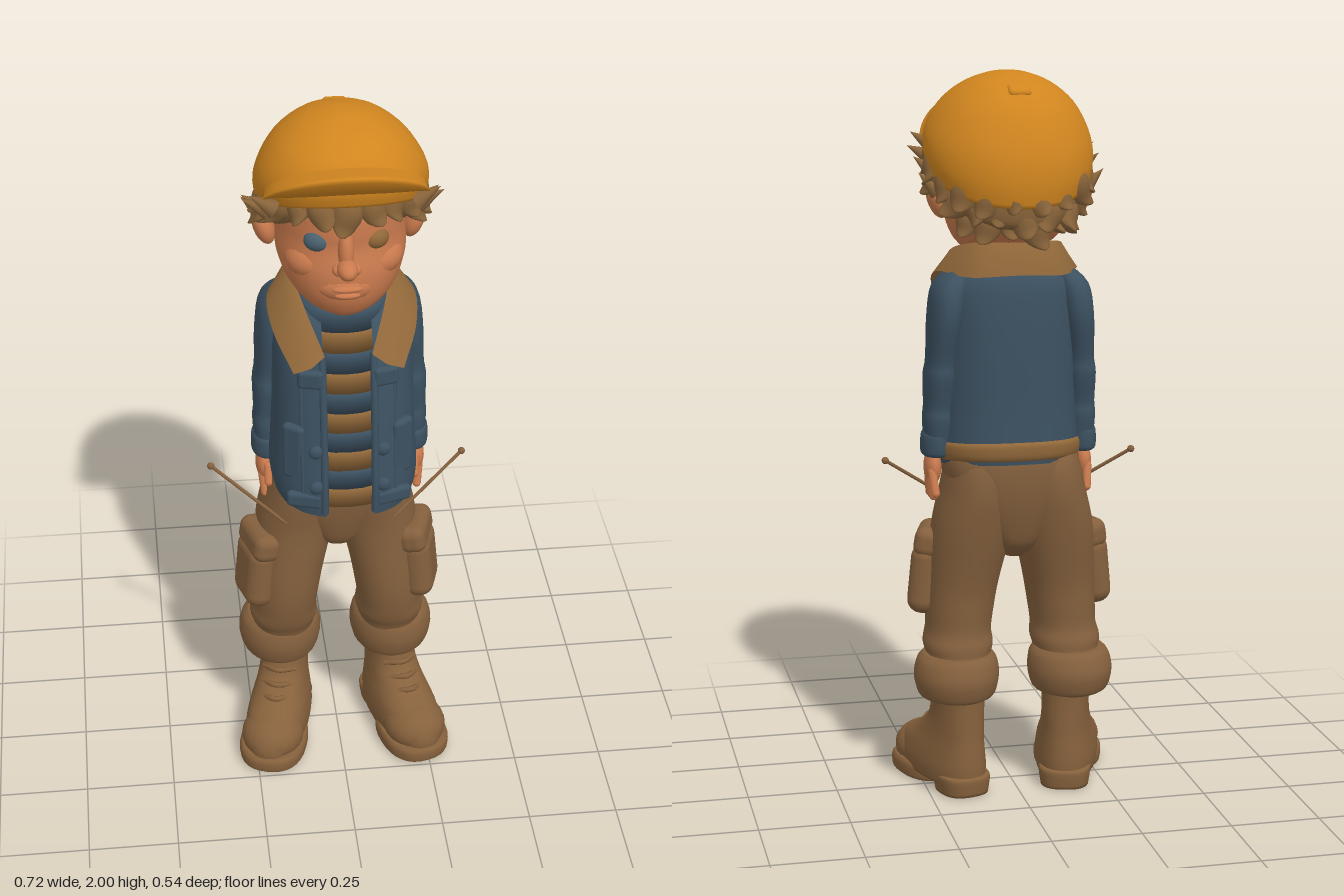
import * as THREE from 'three';
import { RoundedBoxGeometry } from 'three/addons/geometries/RoundedBoxGeometry.js';

const mat = (name, color, side = THREE.FrontSide) =>
  Object.assign(new THREE.MeshStandardMaterial({ color, side }), { name });

// Smooth interpolation of ring values [y, cx, cz, rx, rz, slope]
function smoothRings(rings, steps) {
  const out = [], at = i => rings[Math.max(0, Math.min(rings.length - 1, i))];
  for (let i = 0; i < rings.length - 1; i++)
    for (let s = 0; s < steps; s++) {
      const t = s / steps;
      out.push([0, 1, 2, 3, 4, 5].map(k => {
        const [a, b, c, d] = [i - 1, i, i + 1, i + 2].map(j => at(j)[k] || 0);
        return b + 0.5 * t * (c - a + t * (2 * a - 5 * b + 4 * c - d + t * (3 * (b - c) + d - a)));
      }));
    }
  out.push(at(rings.length));
  return out;
}

// Surface over a grid of rows; closed rows wrap round and get end caps
function gridGeometry(rows, closed) {
  const n = rows[0].length, pos = rows.flat(2), idx = [];
  for (let i = 0; i < rows.length - 1; i++)
    for (let j = 0; j < (closed ? n : n - 1); j++) {
      const k = (j + 1) % n, a = i * n + j, b = i * n + k, c = b + n, d = a + n;
      idx.push(a, b, c, a, c, d);
    }
  if (closed) {
    [0, rows.length - 1].forEach((r, top) => {
      const m = pos.length / 3;
      pos.push(...[0, 1, 2].map(k => rows[r].reduce((s, p) => s + p[k], 0) / n));
      for (let j = 0; j < n; j++) {
        const a = r * n + j, b = r * n + (j + 1) % n;
        idx.push(...(top ? [a, b, m] : [b, a, m]));
      }
    });
  }
  const g = new THREE.BufferGeometry();
  g.setAttribute('position', new THREE.Float32BufferAttribute(pos, 3));
  g.setIndex(idx);
  g.computeVertexNormals();
  return g;
}

// Loft of superellipse rings stacked upward; halfGap opens the front, arc limits it to the back
function loft(rings, { n = 2, seg = 32, steps = 4, halfGap = 0, arc = 0 } = {}) {
  const open = halfGap > 0 || arc > 0, e = 2 / n;
  const rows = smoothRings(rings, steps).map(([y, cx, cz, rx, rz, slope = 0]) => {
    const g = arc || (halfGap ? Math.asin(Math.min(1, (halfGap / rx) ** (n / 2))) : 0);
    return Array.from({ length: open ? seg + 1 : seg }, (_, j) => {
      const t = g + (2 * Math.PI - 2 * g) * j / seg, s = Math.sin(t), c = Math.cos(t);
      const dz = rz * Math.sign(c) * Math.abs(c) ** e;
      return [cx + rx * Math.sign(s) * Math.abs(s) ** e, y + slope * dz, cz + dz];
    });
  });
  return gridGeometry(rows, !open);
}

export function createModel() {
  const root = new THREE.Group();
  const DS = THREE.DoubleSide;
  const cap = mat('cap orange', 0xd0851f, DS), skin = mat('skin', 0xcb7b4e), hair = mat('hair brown', 0x87633a);
  const denim = mat('denim blue', 0x3c5161, DS), pants = mat('trouser brown', 0x84603d), boot = mat('boot brown', 0x86613c);
  const trim = mat('collar tan', 0x906739, DS), eyeBlue = mat('eye blue', 0x4a6270);

  const add = (name, geo, m, parent = root) => {
    const mesh = new THREE.Mesh(geo, m);
    mesh.name = name;
    parent.add(mesh);
    return mesh;
  };
  const ball = (name, m, p, s, parent) => {
    const b = add(name, new THREE.SphereGeometry(1, 20, 14), m, parent);
    b.position.set(...p);
    b.scale.set(...s);
    return b;
  };
  const box = (name, m, p, s, r, parent) => {
    const b = add(name, new RoundedBoxGeometry(...s, 4, r), m, parent);
    b.position.set(...p);
    return b;
  };
  const V = p => new THREE.Vector3(...p);
  const tube = (name, m, pts, r, parent) =>
    add(name, new THREE.TubeGeometry(new THREE.CatmullRomCurve3(pts.map(V)), 16, r, 8), m, parent);
  const side = (s, rings) => rings.map(([y, cx, ...rest]) => [y, cx * s, ...rest]);

  // Head and face
  add('head', loft([[1.488, .01, .1, .05, .055], [1.51, .01, .075, .1, .1], [1.555, .01, .032, .145, .162],
    [1.62, .01, .006, .17, .192], [1.69, .01, -.008, .17, .19], [1.74, .01, -.01, .168, .192], [1.8, .01, -.02, .165, .19], [1.88, .01, -.03, .1, .12]]), skin);
  add('neck', loft([[1.38, .01, -.03, .1, .1], [1.48, .01, -.03, .08, .085], [1.6, .01, -.03, .085, .09]]), skin);
  ball('noseTip', skin, [.005, 1.658, .216], [.027, .025, .04]);
  ball('noseBridge', skin, [.005, 1.695, .182], [.021, .06, .028]).rotation.x = -.22;
  ball('muzzle', skin, [.008, 1.585, .145], [.085, .05, .06]);
  ball('upperLip', skin, [.008, 1.592, .199], [.04, .01, .014]);
  ball('lowerLip', skin, [.008, 1.573, .197], [.034, .01, .014]);
  ball('chin', skin, [.01, 1.527, .125], [.065, .036, .05]);
  for (const s of [1, -1]) {
    ball('nostril', skin, [.005 + s * .022, 1.65, .2], [.016, .015, .02]);
    ball('cheek', skin, [.01 + s * .07, 1.635, .085], [.085, .06, .084]);
    ball('eye', s > 0 ? trim : eyeBlue, [.01 + s * .077, 1.71, .149], [.034, .028, .025]).rotation.y = s * .4;
    ball('ear', skin, [.01 + s * .198, 1.662, -.035], [.028, .054, .04]).rotation.z = -s * .3;
  }

  // Hair: a base under the cap and rows of chunky locks curling outward
  add('hairBase', loft([[1.66, .01, -.04, .165, .18, .4], [1.7, .01, -.04, .2, .212, .4], [1.79, .01, -.04, .2, .21, .35]]), hair);
  let seed = 7;
  const rand = () => (seed = (seed * 16807) % 2147483647) / 2147483647;
  const lockGeo = new THREE.SphereGeometry(1, 14, 14), lp = lockGeo.attributes.position;
  for (let i = 0; i < lp.count; i++) {
    const y = lp.getY(i), d = Math.max(0, -y), k = 1 - d * .15;
    lp.setXYZ(i, lp.getX(i) * k, y + .25 * d * d, lp.getZ(i) * k + 1.1 * d * d);
  }
  lockGeo.computeVertexNormals();
  // Each row: drop, radius, count and the range of cos(angle) it covers
  [[-.012, .198, 20, -.2, 1.1], [-.028, .195, 18, -1.1, .5], [-.075, .178, 18, -1.1, -.22], [-.108, .16, 16, -1.1, -.4]]
    .forEach(([dy, r, count, lo, hi], row) => {
      for (let i = 0; i < count; i++) {
        const a = (i + row * .5) / count * Math.PI * 2, c = Math.cos(a);
        if (c < lo || c > hi) continue;
        const l = add('hairLock', lockGeo, hair);
        l.position.set(.01 + r * Math.sin(a), 1.75 + .3 * r * c + dy + (rand() - .5) * .03, -.04 + r * c);
        l.rotation.set((rand() - .5) * .3, a + (rand() - .5) * .6, (rand() - .5) * 1.2, 'YXZ');
        const k = .85 + rand() * .35;
        l.scale.set(.037 * k, .05 * k, .034 * k);
      }
    });
  // Loose side tips flicking out past the cap
  for (const s of [1, -1])
    [[1.8, .07], [1.83, .115], [1.77, .0], [1.73, -.06]].forEach(([y, z], i) => {
      const tip = add('hairTip', new THREE.ConeGeometry(.026, .075, 12), hair);
      tip.position.set(.01 + s * (.228 - (i === 1 ? .015 : 0)), y - .02, z);
      tip.rotation.z = -s * (1.1 - i * .1);
    });

  // Cap: tilted crown, upturned brim and top button
  add('capCrown', loft([[1.74, .014, -.03, .216, .23, .38], [1.79, .014, -.03, .228, .238, .32], [1.85, .014, -.03, .217, .228, .24],
    [1.92, .012, -.025, .176, .188, .13], [1.97, .012, -.02, .115, .125, .05], [1.995, .012, -.01, .05, .05, 0], [2, .012, -.01, .008, .008]],
  { seg: 48, n: 2.1 }), cap);
  box('capButton', cap, [.01, 1.952, -.15], [.062, .024, .046], .011).rotation.x = -.5;
  const brimRow = (y, drop, x, z, back) => Array.from({ length: 29 }, (_, j) => {
    const a = (j / 14 - 1) * 1.35, k = 1 - Math.cos(a);
    return [.014 + x * Math.sin(a), y - drop * k, z - back * k];
  });
  add('capBrim', gridGeometry([brimRow(1.85, .045, .195, .17, .1), brimRow(1.865, .065, .205, .205, .13), brimRow(1.892, .1, .213, .238, .165),
    brimRow(1.925, .14, .22, .26, .185), brimRow(1.937, .15, .22, .258, .185), brimRow(1.935, .145, .214, .238, .17), brimRow(1.928, .12, .208, .18, .13)]), cap);

  // Striped shirt
  const shirtRing = t => [.915 + .572 * t, .012, .02 - .02 * t, .15 - .03 * t, .19 - .055 * t * t];
  for (let i = 0; i < 10; i++)
    add('shirtStripe', loft([shirtRing(i / 10), shirtRing((i + 1) / 10)], { steps: 1, n: 2.4 }), i % 2 ? denim : trim);

  // Jacket body, open at the front, with a soft hem and collar
  const jacketRings = [[.93, .012, .035, .194, .212, -.1], [.98, .012, .035, .202, .213, -.05], [1.1, .012, .03, .195, .203], [1.25, .012, .02, .19, .19],
    [1.36, .012, .01, .188, .175], [1.44, .012, -.005, .172, .15], [1.49, .012, -.02, .12, .11]];
  add('jacketBody', loft(jacketRings, { n: 2.5, halfGap: .066, seg: 48 }), denim);
  add('jacketLining', loft([[.935, .012, .035, .15, .17, -.1], [.945, .012, .035, .192, .208, -.1]], { n: 2.5, halfGap: .066, seg: 48 }), denim);
  add('jacketHem', loft([[.935, .012, .033, .185, .205, -.1], [.95, .012, .033, .204, .217, -.1], [.985, .012, .033, .207, .219, -.08], [1, .012, .033, .196, .21, -.06]],
    { n: 2.5, arc: 1.75 }), trim);
  const front = (x, y) => {
    const i = Math.max(0, Math.min(5, jacketRings.findIndex(r => r[0] > y) - 1));
    const a = jacketRings[i], b = jacketRings[i + 1], t = (y - a[0]) / (b[0] - a[0]);
    const [, cx, cz, rx, rz] = a.map((v, k) => v + ((b[k] || 0) - v) * t);
    return cz + rz * Math.max(0, 1 - (Math.abs(x - cx) / rx) ** 2.5) ** .4;
  };
  const half = pts => pts.slice(1).reverse().map(([x, y, z]) => [-x, y, z]).concat(pts);
  const edges = [
    [[0, 1.465, -.16], [.13, 1.46, -.135], [.195, 1.465, -.02], [.19, 1.42, .1], [.145, 1.345, .2]],
    [[0, 1.55, -.135], [.11, 1.55, -.11], [.152, 1.525, -.01], [.142, 1.475, .1], [.1, 1.365, .21]],
    [[0, 1.535, -.11], [.1, 1.54, -.09], [.125, 1.525, -.01], [.11, 1.49, .08], [.062, 1.385, .188]]];
  add('jacketCollar', gridGeometry(edges.map(e =>
    new THREE.CatmullRomCurve3(half(e).map(V)).getPoints(40).map(p => [p.x + .012, p.y, p.z]))), trim);

  for (const s of [1, -1]) {
    const jx = x => .012 + s * x;
    // Front edge, pockets, flaps and buttons
    tube('jacketEdge', denim, [.92, 1, 1.1, 1.2, 1.3, 1.38].map(y => [jx(.068), y, front(jx(.068), y)]), .01);
    tube('jacketSeam', denim, [.96, 1.1, 1.2, 1.29].map(y => [jx(.125), y, front(jx(.125), y)]), .005);
    box('chestFlap', denim, [jx(.1), 1.315, front(jx(.1), 1.315) + .003], [.07, .055, .026], .012).rotation.y = s * .25;
    box('lowerPocket', denim, [jx(.145), 1.09, front(jx(.145), 1.09) - .008], [.065, .17, .03], .014).rotation.y = s * .6;
    box('hemBand', denim, [jx(.12), .955, front(jx(.12), .955) - .004], [.1, .045, .026], .012).rotation.y = s * .3;
    for (const y of [1.11, 1.005]) ball('jacketButton', denim, [jx(.09), y, front(jx(.09), y) + .005], [.02, .02, .013]);

    // Sleeve, cuff and hand
    add('sleeve', loft(side(s, [[.98, .2, -.03, .036, .052], [1.06, .2, -.035, .041, .062], [1.1, .199, -.036, .039, .06], [1.18, .196, -.042, .043, .074],
      [1.23, .193, -.046, .039, .072], [1.34, .182, -.052, .046, .094], [1.43, .168, -.05, .045, .085], [1.48, .14, -.045, .02, .04]])
      .map(r => (r[1] += .012, r)), { n: 2.3 }), denim);
    add('sleeveCuff', loft(side(s, [[.96, .205, -.03, .034, .05], [.972, .205, -.03, .041, .06], [1.015, .204, -.03, .041, .061], [1.028, .203, -.03, .035, .052]])
      .map(r => (r[1] += .012, r))), denim);
    const hand = new THREE.Group();
    hand.name = 'hand';
    hand.position.set(jx(.212), .925, -.02);
    root.add(hand);
    ball('palm', skin, [0, 0, 0], [.024, .05, .045], hand);
    for (let i = 0; i < 4; i++) {
      const f = add('finger', new THREE.CapsuleGeometry(.012, .06, 4, 10), skin, hand);
      f.position.set(s * .004, -.05 + (i === 0 ? .012 : 0), -.042 + i * .024);
      f.rotation.set(.3 - i * .18, 0, -s * .1);
    }
    const thumb = add('thumb', new THREE.CapsuleGeometry(.012, .045, 4, 10), skin, hand);
    thumb.position.set(-s * .008, -.01, .05);
    thumb.rotation.x = -.4;

    // Trouser leg, rolled cuff and cargo pocket
    add('trouserLeg', loft(side(s, [[.3, .157, -.035, .098, .108], [.38, .155, -.02, .09, .106], [.42, .154, -.01, .097, .113], [.46, .151, 0, .091, .113],
      [.52, .146, .003, .094, .118], [.6, .137, 0, .099, .122], [.75, .116, -.018, .11, .135], [.86, .102, -.022, .099, .147], [.94, .095, -.022, .088, .14], [1, .09, -.02, .07, .11]]),
    { n: 2.2 }), pants);
    add('trouserCuff', loft(side(s, [[.27, .163, -.037, .09, .105], [.282, .163, -.037, .108, .12], [.33, .163, -.037, .119, .131], [.375, .161, -.033, .112, .122],
      [.395, .159, -.031, .095, .108]])), pants);
    box('cargoPocket', pants, [s * .234, .6, .04], [.085, .2, .15], .04).rotation.set(0, -s * .3, s * .1);
    box('cargoFlap', pants, [s * .22, .705, .04], [.08, .085, .16], .03).rotation.set(0, -s * .3, s * .16);
    tube('frontPocketSeam', pants, [[s * .1, .92, .115], [s * .14, .85, .105], [s * .185, .81, .06]], .005);

    // Boot, turned outward
    const b = new THREE.Group();
    b.name = 'boot';
    b.position.set(s * .155 + .007, 0, -.05);
    b.rotation.y = s * .28;
    root.add(b);
    add('bootUpper', loft([[.03, 0, .1, .086, .192], [.07, 0, .1, .09, .194], [.115, 0, .088, .084, .18], [.155, 0, .048, .074, .137], [.2, 0, .014, .068, .102],
      [.25, 0, .002, .067, .09], [.3, 0, -.002, .07, .088], [.33, 0, -.002, .066, .085]], { n: 2.25 }), boot, b);
    add('toeSole', loft([[0, 0, .178, .09, .117], [.008, 0, .178, .096, .124], [.035, 0, .178, .097, .125], [.048, 0, .178, .09, .117]], { n: 2.4 }), boot, b);
    add('heelSole', loft([[0, 0, -.02, .068, .075], [.045, 0, -.018, .074, .082], [.055, 0, -.018, .068, .074]], { n: 2.6 }), boot, b);
    box('midSole', boot, [0, .04, .07], [.14, .03, .15], .01, b);
    ball('toeCap', boot, [0, .07, .195], [.09, .072, .096], b);
    [[.165, .165], [.19, .132], [.225, .106], [.27, .094]].forEach(([y, z]) =>
      tube('bootLace', boot, [[-.046, y - .008, z - .03], [0, y + .005, z + .002], [.046, y - .008, z - .03]], .008, b));
    box('bootTongue', boot, [0, .3, .087], [.07, .08, .02], .009, b).rotation.x = .25;

    // Thin peg with a round end at the hip
    const p0 = V([s * .15, .8, .11]), p1 = V([s * .35, .94, .01]);
    const peg = add('hipPeg', new THREE.CylinderGeometry(.005, .005, p0.distanceTo(p1), 8), pants);
    peg.position.copy(p0).lerp(p1, .5);
    peg.quaternion.setFromUnitVectors(V([0, 1, 0]), p1.clone().sub(p0).normalize());
    ball('hipPegEnd', pants, p1.toArray(), [.01, .01, .01]);
  }

  // Trouser seat bridging the legs
  add('trouserSeat', loft([[.67, 0, -.015, .03, .06], [.71, .001, -.017, .07, .108], [.77, .003, -.019, .112, .13], [.84, .005, -.021, .16, .145],
    [.91, .007, -.022, .187, .151], [.96, .008, -.02, .188, .15], [1, .01, -.01, .175, .14]], { n: 2.6 }), pants);
  return root;
}
